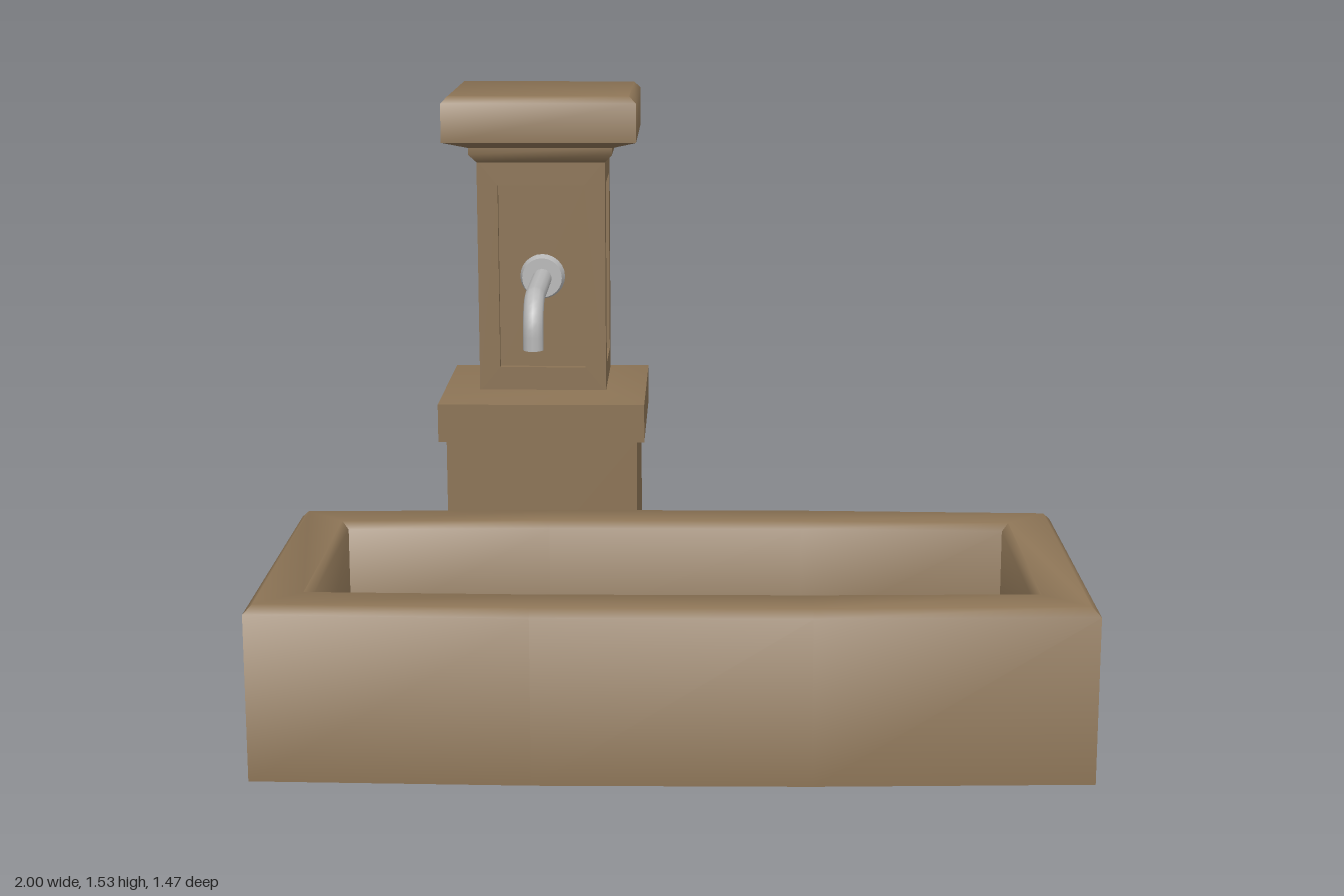
import * as THREE from 'three';
import { toCreasedNormals } from 'three/addons/utils/BufferGeometryUtils.js';

const stone = new THREE.MeshStandardMaterial({ color: 0x8b7355 });
stone.name = 'stone';
const metal = new THREE.MeshStandardMaterial({ color: 0xb8b8b8 });
metal.name = 'metal';

function add(parent, name, geometry, material) {
  const mesh = new THREE.Mesh(geometry, material);
  mesh.name = name;
  parent.add(mesh);
  return mesh;
}

// Skin a stack of convex rings (counter-clockwise from above) and close both ends
function loft(rings) {
  const pos = [];
  const tri = (...pts) => pts.forEach((p) => pos.push(...p));
  const n = rings[0].length;
  for (let r = 0; r < rings.length - 1; r++) {
    const a = rings[r], b = rings[r + 1];
    for (let i = 0; i < n; i++) {
      const j = (i + 1) % n;
      tri(a[i], a[j], b[j]);
      tri(a[i], b[j], b[i]);
    }
  }
  const bottom = rings[0], top = rings[rings.length - 1];
  for (let i = 1; i < n - 1; i++) {
    tri(bottom[0], bottom[i + 1], bottom[i]);
    tri(top[0], top[i], top[i + 1]);
  }
  const g = new THREE.BufferGeometry();
  g.setAttribute('position', new THREE.Float32BufferAttribute(pos, 3));
  return toCreasedNormals(g, 0.9);
}

const rect = (x, z, y) => [[x, y, z], [x, y, -z], [-x, y, -z], [-x, y, z]];

// Trough outline: long sides bow outwards in three straight runs
function bowed(x, corner, middle, y) {
  const m = 0.33;
  return [
    [x, y, corner], [x, y, -corner], [m, y, -middle], [-m, y, -middle],
    [-x, y, -corner], [-x, y, corner], [-m, y, middle], [m, y, middle],
  ];
}

// Frame around a sunken panel on one side of the shaft
function panelFrame(width, panelWidth) {
  const outline = (w, y0, y1) => [
    new THREE.Vector2(-w, y0), new THREE.Vector2(w, y0),
    new THREE.Vector2(w, y1), new THREE.Vector2(-w, y1),
  ];
  const shape = new THREE.Shape(outline(width / 2, 0.73, 1.355));
  shape.holes.push(new THREE.Path(outline(panelWidth / 2, 0.797, 1.288).reverse()));
  return new THREE.ExtrudeGeometry(shape, { depth: 0.02, bevelEnabled: false });
}

export function createModel() {
  const model = new THREE.Group();
  model.name = 'fountain';

  // Basin with chamfered rim and deep hollow inside
  const trough = add(model, 'trough', loft([
    bowed(1, 0.447, 0.468, 0),
    bowed(1, 0.447, 0.468, 0.41),
    bowed(0.98, 0.427, 0.448, 0.43),
    bowed(0.875, 0.325, 0.34, 0.43),
    bowed(0.857, 0.307, 0.322, 0.412),
    bowed(0.857, 0.307, 0.322, 0.13),
  ]), stone);
  trough.position.z = 0.267;

  // Pillar
  const pillar = new THREE.Group();
  pillar.name = 'pillar';
  pillar.position.set(-0.358, 0, -0.465);
  model.add(pillar);

  add(pillar, 'pillarBase', loft([rect(0.255, 0.25, 0), rect(0.255, 0.25, 0.613)]), stone);
  add(pillar, 'pillarLedge', loft([
    rect(0.275, 0.27, 0.613), rect(0.275, 0.27, 0.715), rect(0.17, 0.17, 0.735),
  ]), stone);
  add(pillar, 'shaftCore', loft([rect(0.15, 0.15, 0.72), rect(0.15, 0.15, 1.36)]), stone);
  for (let i = 0; i < 4; i++) {
    const side = i % 2 === 1;
    const frame = add(pillar, 'panelFrame', panelFrame(side ? 0.3 : 0.34, side ? 0.216 : 0.23), stone);
    frame.rotation.y = i * Math.PI / 2;
    frame.position.set(0, 0, 0.15).applyAxisAngle(new THREE.Vector3(0, 1, 0), frame.rotation.y);
  }
  add(pillar, 'neckMoulding', loft([
    rect(0.17, 0.17, 1.35), rect(0.19, 0.19, 1.372), rect(0.19, 0.19, 1.392),
  ]), stone);
  add(pillar, 'cap', loft([
    rect(0.19, 0.19, 1.39), rect(0.255, 0.25, 1.41),
    rect(0.255, 0.25, 1.512), rect(0.237, 0.232, 1.53),
  ]), stone);

  // Spout: wall flange, bent pipe and closed mouth
  const spout = new THREE.Group();
  spout.name = 'spout';
  spout.position.x = -0.357;
  model.add(spout);

  const flange = add(spout, 'flange', new THREE.CylinderGeometry(0.053, 0.06, 0.03, 24), metal);
  flange.rotation.x = Math.PI / 2;
  flange.position.set(0, 1.042, -0.3);

  const at = (z, y) => new THREE.Vector3(0, y, z);
  const path = new THREE.CurvePath();
  path.add(new THREE.LineCurve3(at(-0.31, 1.041), at(0, 1.041)));
  path.add(new THREE.CubicBezierCurve3(at(0, 1.041), at(0.045, 1.041), at(0.08, 1.0), at(0.08, 0.96)));
  path.add(new THREE.LineCurve3(at(0.08, 0.96), at(0.08, 0.917)));
  add(spout, 'pipe', new THREE.TubeGeometry(path, 28, 0.026, 12), metal);
  const mouth = add(spout, 'pipeMouth', new THREE.CircleGeometry(0.026, 12), metal);
  mouth.rotation.x = Math.PI / 2;
  mouth.position.set(0, 0.917, 0.08);

  return model;
}
